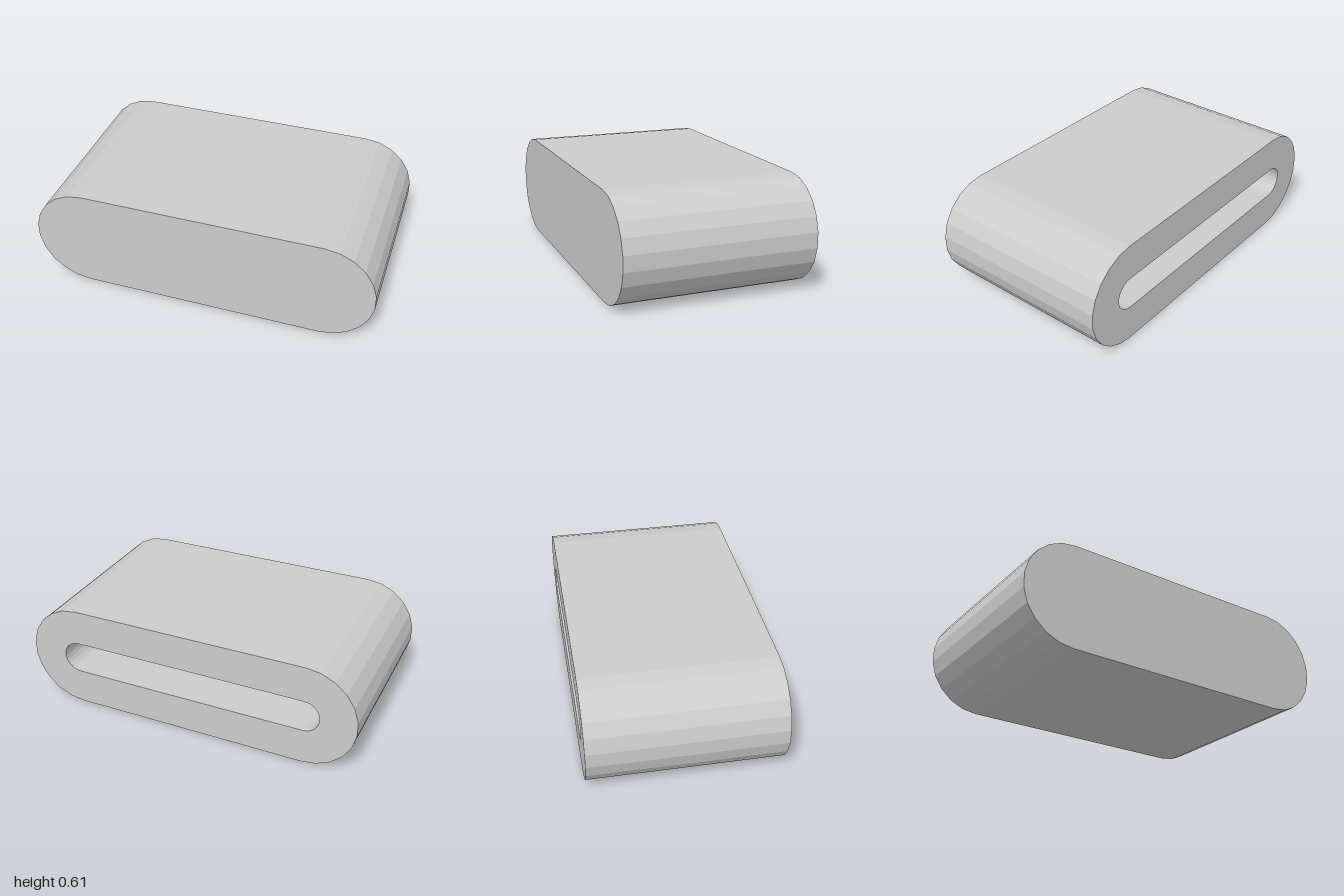
import * as THREE from 'three';

const HALF_DEPTH = 0.545;  // block runs from -HALF_DEPTH to +HALF_DEPTH in z
const CENTRE_X = 0.698;    // centres of the rounded ends
const OUTER_R = 0.305;
const SLOT_R = 0.094;
const WALL = OUTER_R - SLOT_R;
const ARC_SEGMENTS = 11;

// Counter-clockwise outline with two faceted half-round ends
function stadium(radius) {
  const points = [];
  for (const side of [1, -1]) {
    for (let i = 0; i <= ARC_SEGMENTS; i++) {
      const a = -Math.PI / 2 + (Math.PI * i) / ARC_SEGMENTS;
      points.push(new THREE.Vector2(
        side * (CENTRE_X + radius * Math.cos(a)),
        OUTER_R + side * radius * Math.sin(a)));
    }
  }
  return points;
}

// Straight wall along z; swap z0 and z1 to make it face inward
function wallGeometry(outline, z0, z1) {
  const positions = [];
  outline.forEach((a, i) => {
    const b = outline[(i + 1) % outline.length];
    positions.push(a.x, a.y, z0, b.x, b.y, z0, b.x, b.y, z1);
    positions.push(a.x, a.y, z0, b.x, b.y, z1, a.x, a.y, z1);
  });
  const geometry = new THREE.BufferGeometry();
  geometry.setAttribute('position', new THREE.Float32BufferAttribute(positions, 3));
  geometry.computeVertexNormals();
  return geometry;
}

// Flat face at depth z, optionally turned towards the back
function faceGeometry(shape, z, facesBack) {
  const geometry = new THREE.ShapeGeometry(shape);
  if (facesBack) geometry.rotateY(Math.PI);
  return geometry.translate(0, 0, z);
}

export function createModel() {
  const group = new THREE.Group();
  group.name = 'slottedBlock';
  const material = new THREE.MeshStandardMaterial({ color: 0xcccccc, flatShading: true });
  const add = (name, geometry) => {
    const mesh = new THREE.Mesh(geometry, material);
    mesh.name = name;
    group.add(mesh);
  };

  const outer = stadium(OUTER_R);
  const slot = stadium(SLOT_R);
  const slotEnd = HALF_DEPTH - WALL;

  // Outer body with a closed front
  add('outerWall', wallGeometry(outer, -HALF_DEPTH, HALF_DEPTH));
  add('frontFace', faceGeometry(new THREE.Shape(outer), HALF_DEPTH, false));

  // Rim around the slot at the back
  const rim = new THREE.Shape(outer);
  rim.holes.push(new THREE.Path(slot));
  add('backRim', faceGeometry(rim, -HALF_DEPTH, true));

  // Blind slot, leaving a front wall as thick as the sides
  add('slotWall', wallGeometry(slot, slotEnd, -HALF_DEPTH));
  add('slotEnd', faceGeometry(new THREE.Shape(slot), slotEnd, true));

  return group;
}
